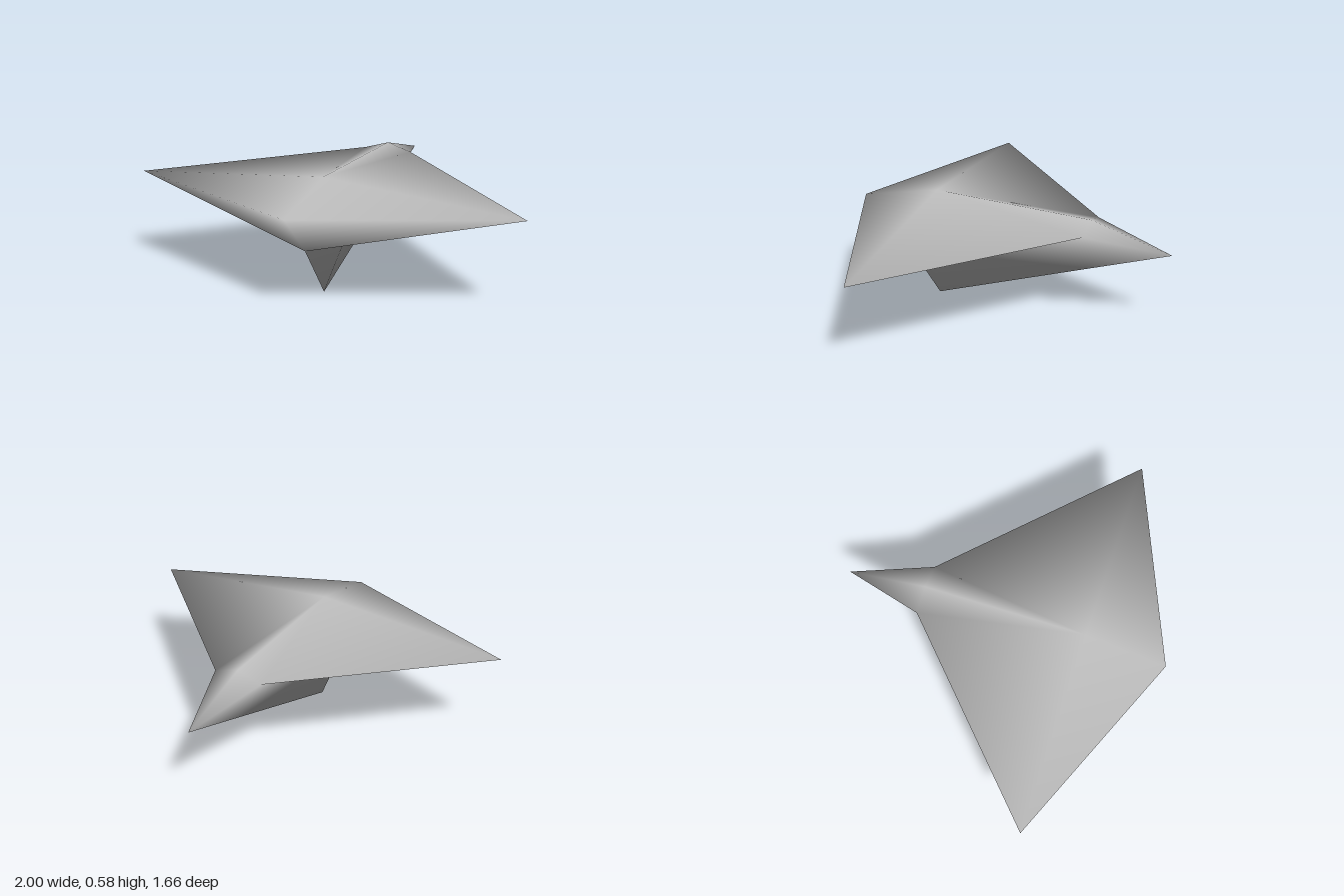
import * as THREE from 'three';

// Smooth-shaded hull: centre-line points, plus side points mirrored left to right
const centre = {
  nose: [0, 0.5, 0.83],
  top: [0, 0.585, 0.415],
  rearTop: [0, 0.55, -0.415],
  tail: [0, 0.427, -0.83],
  rearKeel: [0, 0.285, -0.415],
  finTip: [0, 0, 0.415],
  chin: [0, 0.28, 0.62],
};
const side = {
  wingTip: [1, 0.5, 0.415],
  wingRoot: [0.13, 0.51, -0.415],
  finRoot: [0.11, 0.282, 0.415],
};

// Faces of the left half, counter-clockwise from outside
const halfFaces = [
  ['top', 'nose', 'wingTip'], ['top', 'wingTip', 'wingRoot'], ['top', 'wingRoot', 'rearTop'],
  ['rearTop', 'wingRoot', 'tail'], ['tail', 'wingRoot', 'rearKeel'],
  ['rearKeel', 'wingRoot', 'finRoot'], ['wingRoot', 'wingTip', 'finRoot'],
  ['finRoot', 'wingTip', 'chin'], ['wingTip', 'nose', 'chin'],
  ['rearKeel', 'finRoot', 'finTip'], ['finRoot', 'chin', 'finTip'],
];

function hullGeometry() {
  const positions = [];
  const indexOf = {};
  const add = (key, p) => {
    indexOf[key] = positions.length / 3;
    positions.push(...p);
  };
  for (const [name, p] of Object.entries(centre)) add(name, p);
  for (const [name, [x, y, z]] of Object.entries(side)) {
    add(name, [x, y, z]);
    add(name + 'Right', [-x, y, z]);
  }
  const mirrored = (name) => indexOf[name in side ? name + 'Right' : name];
  const indices = [];
  for (const [a, b, c] of halfFaces) {
    indices.push(indexOf[a], indexOf[b], indexOf[c]);
    indices.push(mirrored(a), mirrored(c), mirrored(b));
  }
  const geometry = new THREE.BufferGeometry();
  geometry.setAttribute('position', new THREE.Float32BufferAttribute(positions, 3));
  geometry.setIndex(indices);
  geometry.computeVertexNormals();
  return geometry;
}

export function createModel() {
  const model = new THREE.Group();
  model.name = 'glider';
  const grey = new THREE.MeshStandardMaterial({ color: 0xc4c4c4 });
  grey.name = 'hull grey';
  const hull = new THREE.Mesh(hullGeometry(), grey);
  hull.name = 'wingedHull';
  model.add(hull);
  return model;
}
